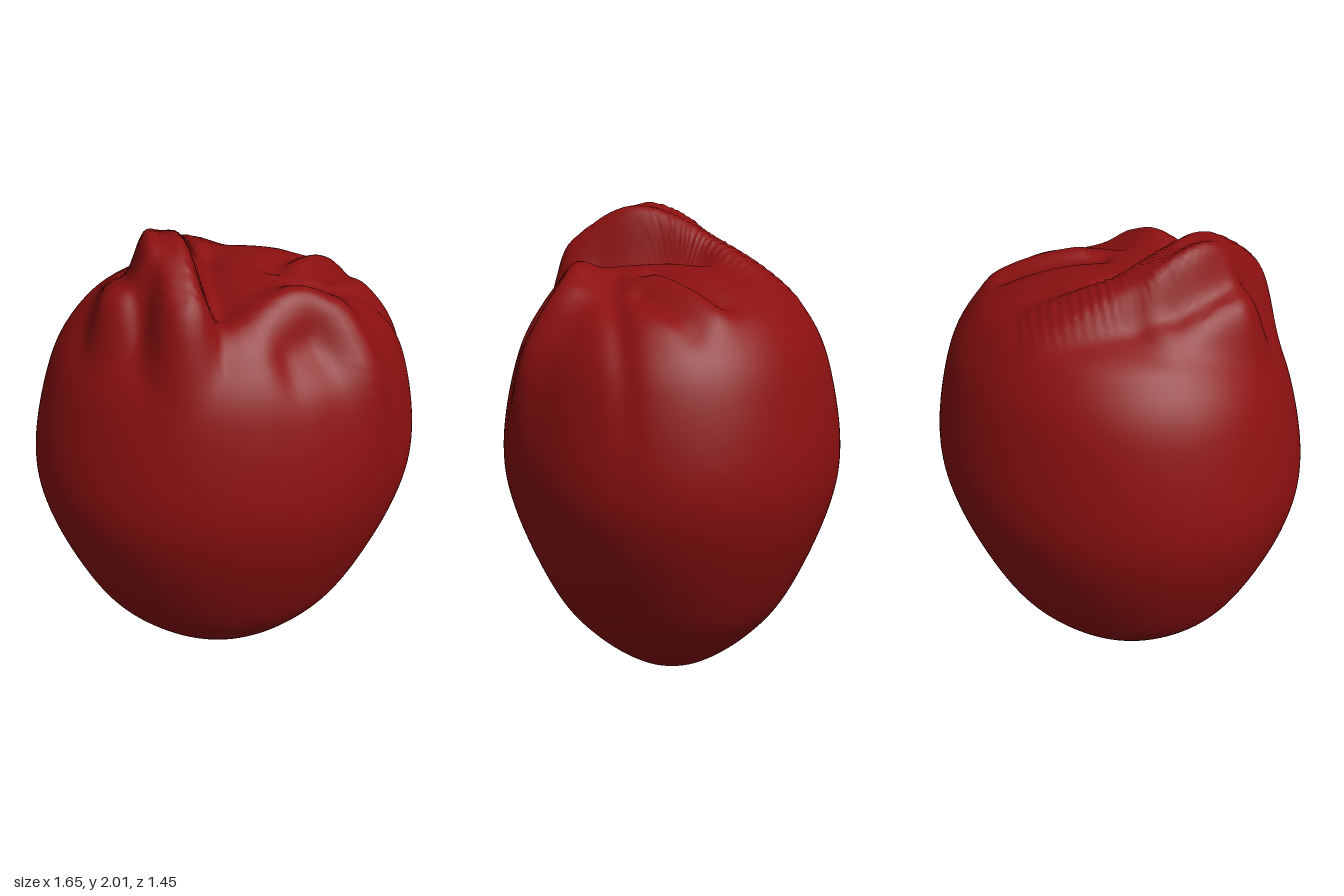
import * as THREE from 'three';
import { mergeVertices } from 'three/addons/utils/BufferGeometryUtils.js';

// Body profile as [relative radius, y], turned and squeezed to an oval
const PROFILE = [
  [0, 0], [0.24, 0.045], [0.52, 0.2], [0.73, 0.4], [0.94, 0.76], [0.995, 1.04],
  [0.91, 1.4], [0.77, 1.6], [0.6, 1.7], [0.32, 1.775], [0, 1.8],
];
const HALF_WIDTH = 0.83;
const HALF_DEPTH = 0.73;

// Sculpting strokes seen from above: path points are [x, z, amount],
// "up" is the share of the push that goes straight up, the rest goes outward
const STROKES = [
  // tall vessel arching from the front over to the back
  { width: 0.115, power: 4, up: 1, path: [[-0.34, 0.42, 0.21], [-0.31, 0.2, 0.255], [-0.27, 0, 0.2], [-0.16, -0.2, 0.1], [0.08, -0.5, 0.01]] },
  // short vessel beside it
  { width: 0.12, power: 4, up: 0.95, path: [[-0.5, 0.15, 0.16], [-0.4, -0.1, 0.04]] },
  // valley along the tall vessel
  { width: 0.07, power: 2, up: 1, path: [[-0.15, 0.32, -0.04], [-0.05, -0.1, -0.03]] },
  // front lip
  { width: 0.1, power: 2, up: 0.9, path: [[-0.1, 0.44, 0.03], [0.15, 0.39, 0.11], [0.29, 0.41, 0.08]] },
  // long edge running down from the lip
  { width: 0.1, power: 2, up: 0, path: [[0.3, 0.44, 0.03], [0.37, 0.53, 0.06], [0.36, 0.64, 0.03]] },
  // hollow under the lip
  { width: 0.07, power: 2, up: 0.2, path: [[0.06, 0.57, -0.05], [0.2, 0.53, -0.06]] },
  // crease over the upper side
  { width: 0.05, power: 2, up: 0.5, path: [[0.22, 0.25, -0.03], [0.5, 0.22, -0.035], [0.78, 0.17, -0.015]] },
  // two diagonal grooves with a fold between them
  { width: 0.055, power: 2, up: 1, path: [[0.18, 0.08, -0.03], [0.44, -0.2, -0.03]] },
  { width: 0.06, power: 2, up: 0.8, path: [[0.3, 0.06, 0.03], [0.55, -0.18, 0.02]] },
  { width: 0.05, power: 2, up: 0.8, path: [[0.42, 0.13, -0.03], [0.62, -0.08, -0.02]] },
];

// Smooth every path; the amount rides along as the third coordinate
const strokes = STROKES.map(({ path, ...rest }) => {
  const curve = new THREE.CatmullRomCurve3(path.map((p) => new THREE.Vector3(...p)));
  return { ...rest, samples: curve.getPoints(40) };
});

// Push a surface point along all strokes near it, fading out down the sides
function sculpt(p) {
  const fade = THREE.MathUtils.smoothstep(p.y, 0.7, 1.45);
  if (fade === 0) return p;
  const outward = new THREE.Vector3(p.x, 0, p.z).normalize();
  const shift = new THREE.Vector3();
  for (const { width, power, up, samples } of strokes) {
    let nearest = Infinity;
    let amount = 0;
    for (const s of samples) {
      const distance = Math.hypot(p.x - s.x, p.z - s.y);
      if (distance < nearest) {
        nearest = distance;
        amount = s.z;
      }
    }
    const push = fade * amount * Math.exp(-Math.pow(nearest / width, power));
    shift.y += push * up;
    shift.addScaledVector(outward, push * (1 - up));
  }
  return p.add(shift);
}

function bodyGeometry() {
  const profile = new THREE.SplineCurve(PROFILE.map((p) => new THREE.Vector2(...p)));
  const points = profile.getPoints(130).map((p) => new THREE.Vector2(Math.max(p.x, 0), Math.max(p.y, 0)));
  const lathe = new THREE.LatheGeometry(points, 144);
  lathe.deleteAttribute('uv');
  lathe.deleteAttribute('normal');
  const geometry = mergeVertices(lathe, 1e-5);
  const position = geometry.getAttribute('position');
  const p = new THREE.Vector3();
  for (let i = 0; i < position.count; i++) {
    p.fromBufferAttribute(position, i);
    // oval section, leaning slightly to the left with height
    p.set(p.x * HALF_WIDTH + 0.03 * (p.y - 1) * Math.abs(p.x), p.y, p.z * HALF_DEPTH);
    sculpt(p);
    position.setXYZ(i, p.x, p.y, p.z);
  }
  geometry.computeVertexNormals();
  return geometry;
}

export function createModel() {
  const group = new THREE.Group();
  group.name = 'heart';
  const body = new THREE.Mesh(bodyGeometry(), new THREE.MeshStandardMaterial({ color: 0x8c1010 }));
  body.name = 'heartBody';
  group.add(body);
  return group;
}
